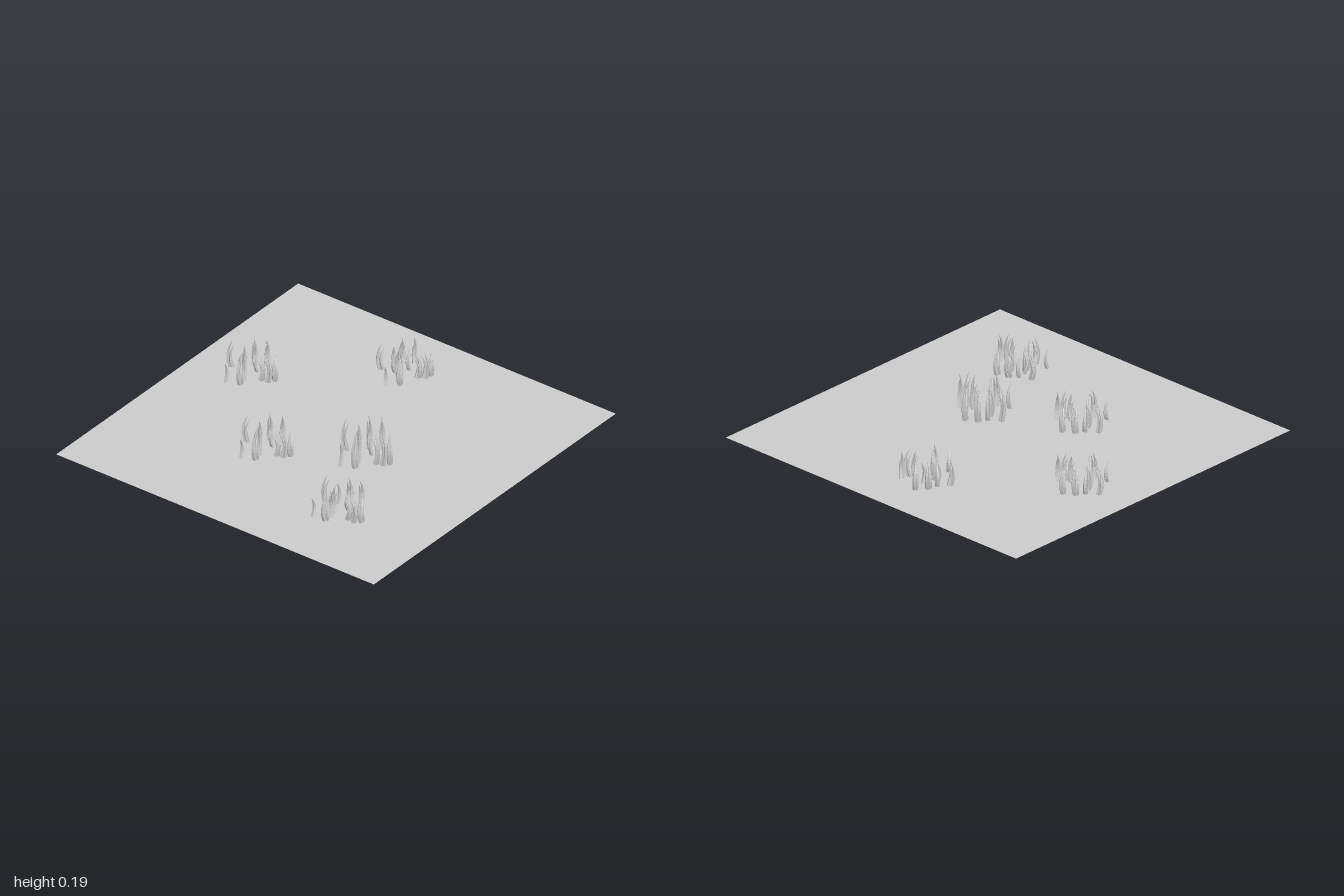
import * as THREE from 'three';

const material = new THREE.MeshStandardMaterial({ color: 0xcccccc, flatShading: true, side: THREE.DoubleSide });

// Blades of one tuft: x, z, height, direction of the curve (radians), how many grow together
const BLADES = [
  [0.005, -0.11, 0.155, 1.9, 2], [-0.13, -0.04, 0.115, 0.2, 1],
  [-0.10, 0.027, 0.155, 3.0, 2], [-0.06, 0.016, 0.155, 0.3, 2],
  [-0.02, -0.01, 0.15, 0.9, 3], [0, -0.037, 0.13, 2.4, 1],
  [0.045, -0.058, 0.125, 0.5, 1], [0.087, -0.027, 0.155, 0.1, 3],
  [0.045, 0.022, 0.12, 2.8, 1], [0.12, 0.027, 0.15, 0.2, 2],
  [-0.005, 0.086, 0.15, 4.4, 3], [0, 0.123, 0.155, 5.0, 2],
  [0.034, 0.145, 0.15, 3.4, 2],
];

// Tufts: x, z, turn, height scale
const TUFTS = [
  [0.18, -0.69, 0, 1], [-0.33, -0.205, 0, 1], [-0.09, 0.238, 0, 1.25],
  [-0.565, 0.446, -0.27, 1], [0.649, -0.081, 0.31, 1],
];

// A curved blade: a five-sided tube that narrows to a point and bows along +x
function bladeGeometry() {
  const geometry = new THREE.CylinderGeometry(1, 1, 1, 5, 6, true);
  geometry.translate(0, 0.5, 0);
  const p = geometry.attributes.position;
  for (let i = 0; i < p.count; i++) {
    const t = p.getY(i);
    const width = 0.0125 * (1 - Math.pow(t, 1.8)) + 0.0006;
    const bow = 0.014 * Math.sin(Math.PI * t) - 0.012 * t * t;
    p.setXYZ(i, p.getX(i) * width * 0.8 + bow, t, p.getZ(i) * width);
  }
  geometry.computeVertexNormals();
  return geometry;
}

export function createModel() {
  const model = new THREE.Group();
  model.name = 'grassPatch';

  // Flat ground sheet
  const ground = new THREE.Mesh(new THREE.PlaneGeometry(2, 2).rotateX(-Math.PI / 2), material);
  ground.name = 'ground';
  model.add(ground);

  // Grass tufts
  const geometry = bladeGeometry();
  for (const [tx, tz, turn, stretch] of TUFTS) {
    const tuft = new THREE.Group();
    tuft.name = 'grassTuft';
    tuft.position.set(tx, 0, tz);
    tuft.rotation.y = turn;
    tuft.scale.y = stretch;
    for (const [x, z, height, angle, count] of BLADES) {
      for (let i = 0; i < count; i++) {
        const blade = new THREE.Mesh(geometry, material);
        blade.name = 'grassBlade';
        const around = angle + (i * 2 * Math.PI) / count;
        const spread = count > 1 ? 0.007 : 0;
        blade.position.set(x + Math.cos(around) * spread, 0, z - Math.sin(around) * spread);
        blade.rotation.y = angle + i * 0.5;
        blade.scale.set(1, height * (1 - 0.12 * i), 1);
        tuft.add(blade);
      }
    }
    model.add(tuft);
  }
  return model;
}
